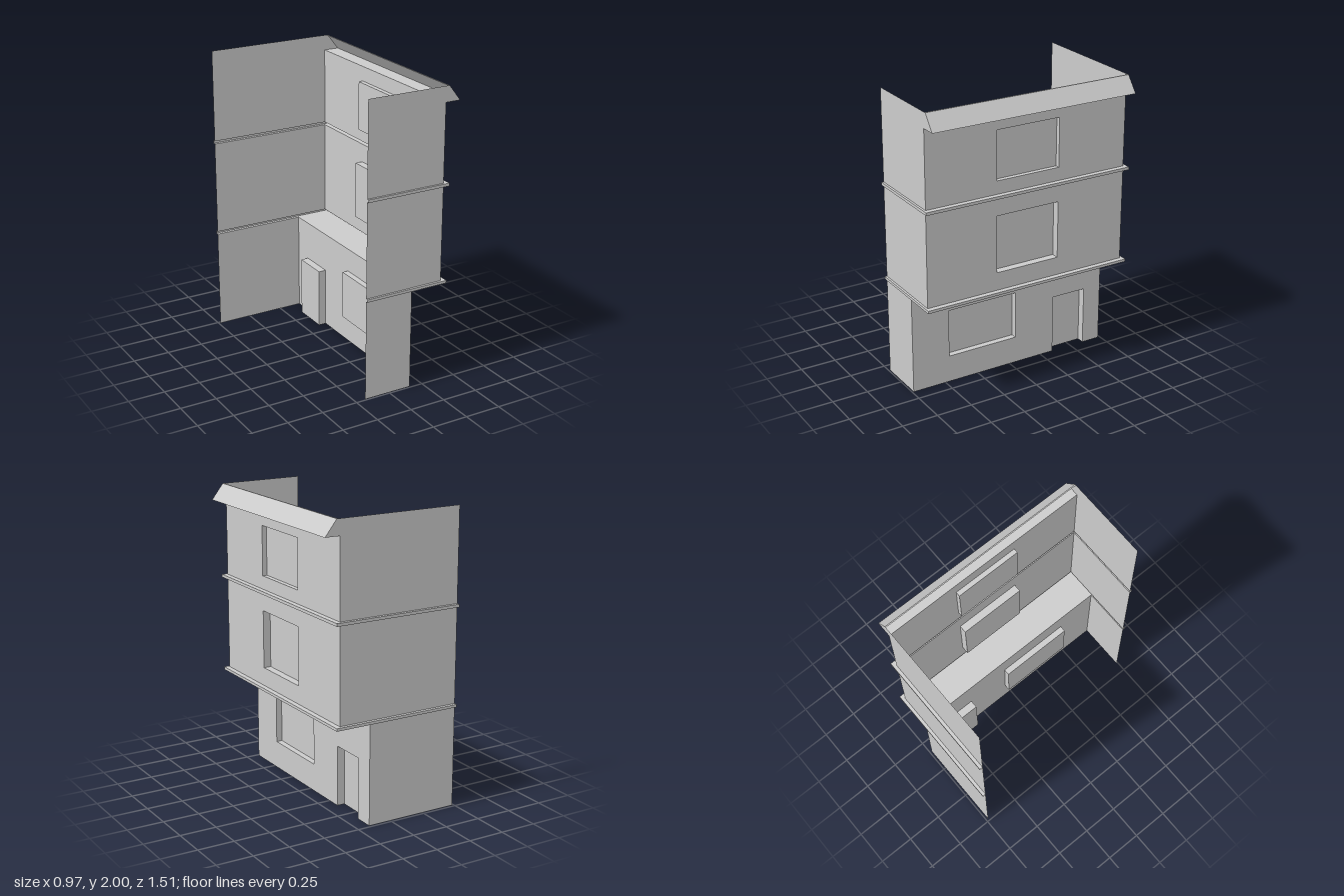
import * as THREE from 'three';

const mat = new THREE.MeshStandardMaterial({ color: 0xcccccc, side: THREE.DoubleSide, flatShading: true });

// Main planes of the shell
const ZF = 0.74, ZB = -0.735;        // side walls
const XF = -0.18, XB = -0.487;       // rear ends of the side walls
const XLOW = 0.16, XUP = 0.38;       // ground floor and upper facade
const LEDGE1 = [0.687, 0.706], LEDGE2 = [1.35, 1.37];
const EAVE = 1.895;

export function createModel() {
  const group = new THREE.Group();

  const add = (name, geo) => {
    const mesh = new THREE.Mesh(geo, mat);
    mesh.name = name;
    group.add(mesh);
    return mesh;
  };

  // Sheet skinned across a list of equally long rows of [x, y, z] points
  const loft = (rows) => {
    const pos = [];
    for (let r = 0; r < rows.length - 1; r++) {
      const a = rows[r], b = rows[r + 1];
      for (let i = 0; i < a.length - 1; i++) {
        pos.push(...a[i], ...a[i + 1], ...b[i + 1], ...a[i], ...b[i + 1], ...b[i]);
      }
    }
    const geo = new THREE.BufferGeometry();
    geo.setAttribute('position', new THREE.Float32BufferAttribute(pos, 3));
    geo.computeVertexNormals();
    return geo;
  };

  const polygon = (pts) => new THREE.Shape(pts.map(([x, y]) => new THREE.Vector2(x, y)));
  const rect = (x0, x1, y0, y1) => [[x0, y0], [x1, y0], [x1, y1], [x0, y1]];

  // Facade panel facing +x with an optional opening { z0, z1, y0, y1, back }
  const facade = (name, x, y0, y1, openings) => {
    let outline = rect(-ZF, -ZB, y0, y1);
    const holes = [];
    for (const o of openings) {
      if (o.y0 > y0) holes.push(rect(-o.z1, -o.z0, o.y0, o.y1));
      else outline = [[-ZF, y0], [-o.z1, y0], [-o.z1, o.y1], [-o.z0, o.y1],
        [-o.z0, y0], [-ZB, y0], [-ZB, y1], [-ZF, y1]];
    }
    const shape = polygon(outline);
    shape.holes = holes.map(polygon);
    add(name, new THREE.ShapeGeometry(shape).rotateY(Math.PI / 2).translate(x, 0, 0));

    // Reveals and set-back pane; a doorway has no sill
    for (const o of openings) {
      const loop = [[o.z1, o.y0], [o.z1, o.y1], [o.z0, o.y1], [o.z0, o.y0]];
      if (o.y0 > y0) loop.push(loop[0]);
      add(o.name + 'Reveal', loft([o.back, x].map((d) => loop.map(([z, y]) => [d, y, z]))));
      add(o.name + 'Pane', new THREE.PlaneGeometry(o.z1 - o.z0, o.y1 - o.y0)
        .rotateY(Math.PI / 2).translate(o.back, (o.y0 + o.y1) / 2, (o.z0 + o.z1) / 2));
    }
  };

  facade('groundFacade', XLOW, 0, LEDGE1[0], [
    { name: 'groundWindow', z0: -0.045, z1: 0.468, y0: 0.19, y1: 0.525, back: 0.118 },
    { name: 'door', z0: -0.602, z1: -0.348, y0: 0, y1: 0.415, back: 0.106 },
  ]);
  facade('middleFacade', XUP, LEDGE1[1], LEDGE2[0], [
    { name: 'middleWindow', z0: -0.227, z1: 0.233, y0: 0.83, y1: 1.223, back: 0.328 },
  ]);
  facade('topFacade', XUP, LEDGE2[1], EAVE, [
    { name: 'topWindow', z0: -0.227, z1: 0.233, y0: 1.46, y1: 1.795, back: 0.348 },
  ]);

  // Side walls, storey by storey; the top one carries the eave profile
  for (const [side, z, x0] of [['front', ZF, XF], ['back', ZB, XB]]) {
    const storeys = {
      Ground: rect(x0, XLOW, 0, LEDGE1[0]),
      Middle: rect(x0, XUP, LEDGE1[1], LEDGE2[0]),
      Top: [[x0, LEDGE2[1]], [XUP, LEDGE2[1]], [XUP, EAVE], [0.485, EAVE], [0.403, 2], [x0, 2]],
    };
    for (const [storey, pts] of Object.entries(storeys)) {
      add(side + storey + 'Wall', new THREE.ShapeGeometry(polygon(pts)).translate(0, 0, z));
    }
  }

  // Underside of the overhanging upper floors
  add('overhangSoffit', loft([ZF, ZB].map((z) => [[XLOW, LEDGE1[0], z], [XUP, LEDGE1[0], z]])));

  // String courses: hollow ledges wrapping three sides
  const inner = [[XF, ZF], [XUP, ZF], [XUP, ZB], [XB, ZB]];
  const outer = [[XF, 0.755], [0.415, 0.755], [0.415, -0.757], [XB, -0.757]];
  [LEDGE1, LEDGE2].forEach(([y0, y1], i) => {
    const row = (plan, y) => plan.map(([x, z]) => [x, y, z]);
    add(i ? 'upperLedge' : 'lowerLedge',
      loft([row(inner, y0), row(outer, y0), row(outer, y1), row(inner, y1)]));
  });

  // Sloping eave with its soffit, open towards the rear
  const eave = [[XUP, EAVE], [0.485, EAVE], [0.403, 2], [0.395, 2]];
  add('eave', loft([ZF, ZB].map((z) => eave.map(([x, y]) => [x, y, z]))));

  return group;
}
